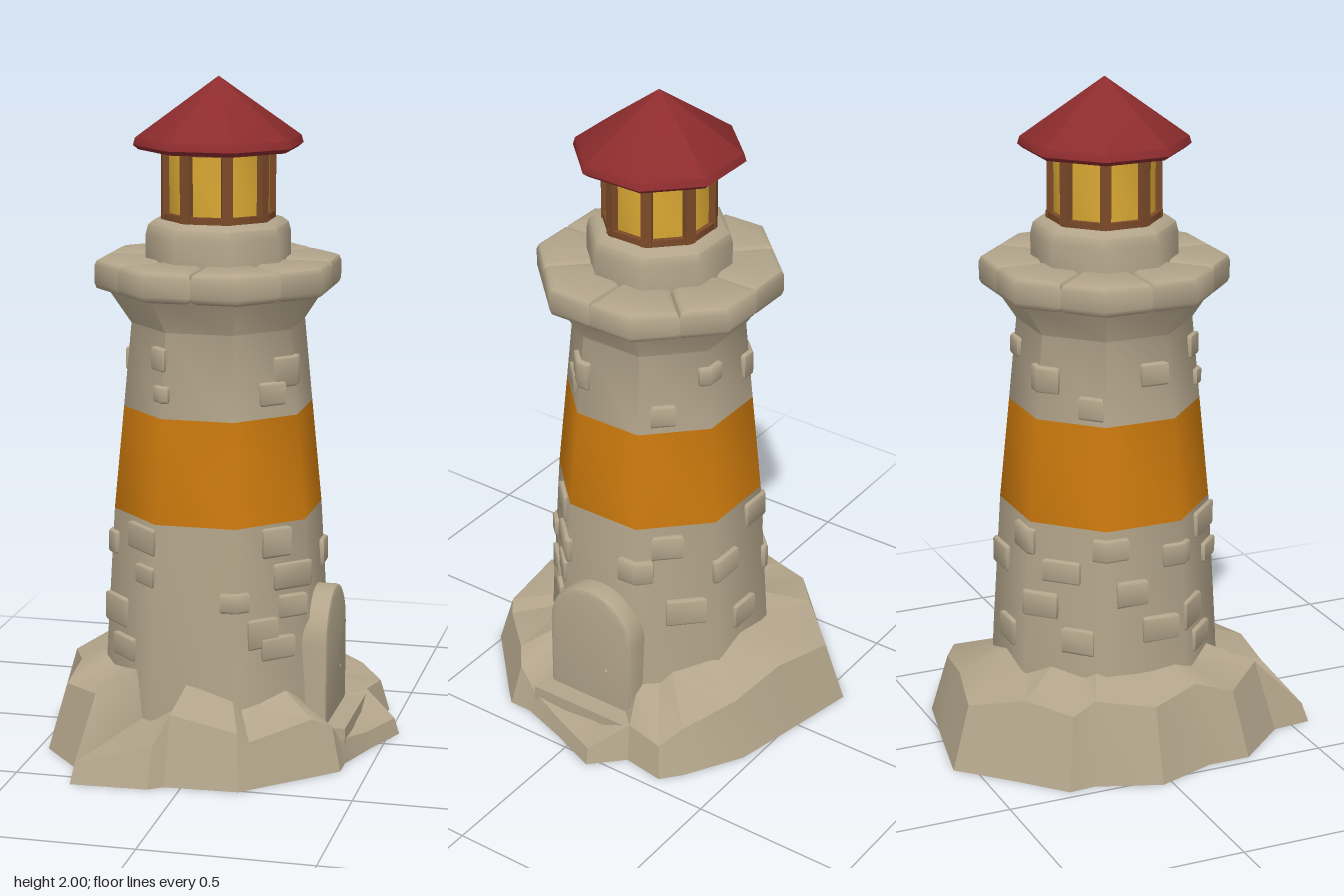
import * as THREE from 'three';
import { toCreasedNormals } from 'three/addons/utils/BufferGeometryUtils.js';

const mat = (name, color) => Object.assign(new THREE.MeshStandardMaterial({ color }), { name });
const EIGHTH = Math.PI / 4;

export function createModel() {
  const stone = mat('stone', 0xb3a58b);
  const orange = mat('orange paint', 0xcb790d);
  const red = mat('red roof', 0x8e2c2e);
  const wood = mat('brown wood', 0x7b4a28);
  const glass = mat('yellow glass', 0xdba934);
  const metal = mat('pale metal', 0xbdb4a2);

  const model = new THREE.Group();
  model.name = 'lighthouse';
  const tower = new THREE.Group();
  tower.name = 'tower';
  tower.position.set(-0.01, 0, 0.01);
  model.add(tower);

  const add = (name, geometry, material, parent = tower) => {
    const mesh = new THREE.Mesh(geometry, material);
    mesh.name = name;
    parent.add(mesh);
    return mesh;
  };

  // Eight-sided turned part; profile is [apothem, y] from bottom to top
  const octagon = (name, profile, material) => {
    const pts = profile.map(([a, y]) => new THREE.Vector2(a / Math.cos(EIGHTH / 2), y));
    return add(name, toCreasedNormals(new THREE.LatheGeometry(pts, 8, EIGHTH / 2), 0.87), material);
  };

  // Point on the octagon outline (flat sides face the axes)
  const octPoint = (phi, apothem) => {
    const off = phi - Math.round(phi / EIGHTH) * EIGHTH;
    const r = apothem / Math.cos(off);
    return new THREE.Vector2(r * Math.sin(phi), -r * Math.cos(phi));
  };

  // Bevelled stone following the octagon from angle a to b
  const wrappedStone = (name, a, b, inner, outer, y0, y1, bevel) => {
    const angles = [a];
    for (let k = -8; k < 10; k++) {
      const corner = (k + 0.5) * EIGHTH;
      if (corner > a + 0.01 && corner < b - 0.01) angles.push(corner);
    }
    angles.push(b);
    const outline = angles.map((p) => octPoint(p, outer))
      .concat(angles.reverse().map((p) => octPoint(p, inner)));
    const geo = new THREE.ExtrudeGeometry(new THREE.Shape(outline), {
      depth: y1 - y0 - 2 * bevel, bevelThickness: bevel, bevelSize: bevel,
      bevelOffset: -bevel, bevelSegments: 2,
    });
    geo.rotateX(-Math.PI / 2).translate(0, y0 + bevel, 0);
    return add(name, toCreasedNormals(geo, 0.87), stone);
  };

  // Tower walls
  octagon('lowerWall', [[0.326, 0], [0.313, 0.3], [0.29, 0.72]], stone);
  octagon('paintedBand', [[0.29, 0.72], [0.262, 1.03]], orange);
  octagon('upperWall', [[0.262, 1.03], [0.24, 1.28], [0.305, 1.385], [0.31, 1.4]], stone);

  // Raised bricks: [angle from front in degrees, half angle, y, height]
  const bricks = [
    [-35, 13, 0.665, 0.08], [48, 9, 0.665, 0.09], [-30, 8, 0.56, 0.06], [58, 12, 0.56, 0.08],
    [-58, 10, 0.42, 0.09], [38, 9, 0.4, 0.09], [57, 8, 0.47, 0.07], [47, 10, 0.35, 0.07],
    [-48, 10, 0.32, 0.07], [22, 8, 0.5, 0.06], [-28, 7, 1.2, 0.07], [50, 9, 1.1, 0.07],
    [-24, 6, 1.1, 0.05], [64, 11, 1.16, 0.09], [128, 8, 1.085, 0.07], [112, 10, 0.57, 0.08],
    [130, 9, 0.65, 0.08], [140, 11, 0.42, 0.09], [165, 10, 0.55, 0.08], [180, 9, 0.34, 0.08],
    [196, 10, 0.66, 0.08], [222, 11, 0.58, 0.07], [210, 10, 0.47, 0.08], [232, 9, 0.37, 0.08],
    [250, 10, 0.66, 0.07], [262, 9, 0.52, 0.08], [278, 10, 0.4, 0.08], [290, 9, 0.62, 0.07],
    [205, 11, 1.15, 0.08], [238, 8, 1.08, 0.07], [160, 9, 1.2, 0.06], [280, 9, 1.17, 0.07],
  ];
  for (const [deg, half, y, h] of bricks) {
    const wall = y < 0.72 ? 0.33 - 0.055 * y : 0.351 - 0.087 * y;
    const a = THREE.MathUtils.degToRad(deg - half), b = THREE.MathUtils.degToRad(deg + half);
    wrappedStone('raisedBrick', a, b, wall - 0.04, wall + 0.011, y - h / 2, y + h / 2, 0.008);
  }

  // Gallery ring of eight corner stones, and the drum above it
  for (let i = 0; i < 8; i++) {
    wrappedStone('galleryStone', i * EIGHTH, (i + 1) * EIGHTH, 0.15, 0.34, 1.38, 1.472, 0.02);
  }
  octagon('drum', [[0.2, 1.45], [0.2, 1.54], [0.193, 1.57], [0.175, 1.585], [0, 1.585]], stone);

  // Lantern room
  octagon('lanternGlass', [[0.143, 1.58], [0.143, 1.8]], glass);
  octagon('lanternSill', [[0.158, 1.58], [0.158, 1.605], [0.14, 1.605]], wood);
  octagon('lanternHead', [[0.14, 1.78], [0.156, 1.78], [0.156, 1.8]], wood);
  for (let i = 0; i < 8; i++) {
    const phi = (i + 0.5) * EIGHTH;
    const post = add('lanternPost', new THREE.BoxGeometry(0.032, 0.22, 0.026), wood);
    post.position.set(0.155 * Math.sin(phi), 1.69, 0.155 * Math.cos(phi));
    post.rotation.y = phi;
  }
  octagon('roof', [[0, 1.79], [0.218, 1.79], [0.233, 1.803], [0.227, 1.825], [0, 2]], red);

  // Doorway on the left side of the tower
  const arch = (Type, half, bottom, spring) => {
    const s = new Type();
    s.moveTo(-half, bottom);
    s.lineTo(half, bottom);
    s.lineTo(half, spring);
    s.absarc(0, spring, half, 0, Math.PI, false);
    s.lineTo(-half, bottom);
    return s;
  };
  const frame = arch(THREE.Shape, 0.15, 0.08, 0.34);
  frame.holes.push(arch(THREE.Path, 0.1, 0.1, 0.34));
  const frameGeo = new THREE.ExtrudeGeometry(frame, {
    depth: 0.08, bevelThickness: 0.012, bevelSize: 0.012, bevelOffset: -0.012,
    bevelSegments: 2, curveSegments: 8,
  });
  frameGeo.rotateY(Math.PI / 2).translate(0.273, 0, 0);
  add('doorFrame', toCreasedNormals(frameGeo, 0.7), stone);
  const doorGeo = new THREE.ExtrudeGeometry(arch(THREE.Shape, 0.115, 0.09, 0.34), {
    depth: 0.05, bevelEnabled: false, curveSegments: 8,
  });
  add('door', doorGeo.rotateY(Math.PI / 2).translate(0.283, 0, 0), wood);
  add('doorKnob', new THREE.SphereGeometry(0.018, 8, 6), metal).position.set(0.35, 0.22, -0.06);
  add('doorStep', new THREE.BoxGeometry(0.17, 0.1, 0.34), stone).position.set(0.34, 0.05, 0);

  // Rocky base: outline points as [x, z, shoulder height]
  const outline = [
    [-0.2, -0.56, 0.19], [0.02, -0.515, 0.21], [0.23, -0.47, 0.18], [0.4, -0.37, 0.14],
    [0.46, -0.32, 0.1], [0.44, -0.19, 0.11], [0.53, -0.1, 0.05], [0.47, 0.05, 0.05],
    [0.42, 0.2, 0.07], [0.42, 0.27, 0.13], [0.37, 0.32, 0.16], [0.2, 0.48, 0.13],
    [0.17, 0.51, 0.16], [-0.05, 0.52, 0.2], [-0.09, 0.55, 0.12], [-0.32, 0.56, 0.06],
    [-0.33, 0.44, 0.22], [-0.47, 0.28, 0.2], [-0.47, 0.15, 0.24], [-0.535, -0.03, 0.22],
    [-0.465, -0.22, 0.24], [-0.47, -0.3, 0.21], [-0.34, -0.42, 0.23],
  ];
  const n = outline.length;
  const rings = [
    outline.map(([x, z]) => [x, 0, z]),
    outline.map(([x, z, h]) => [x * (1 - 0.55 * h), h, z * (1 - 0.55 * h)]),
    outline.map(([x, z, h]) => {
      const k = 0.29 / Math.hypot(x, z);
      return [x * k, x > 0.4 && h < 0.1 ? 0.09 : 0.09 + h * 0.85, z * k];
    }),
  ];
  const positions = [];
  for (let i = 0; i < n; i++) {
    const j = (i + 1) % n;
    positions.push(0, 0, 0, ...rings[0][i], ...rings[0][j]);
    for (let r = 0; r < 2; r++) {
      const a = rings[r][i], b = rings[r][j], c = rings[r + 1][j], d = rings[r + 1][i];
      positions.push(...a, ...c, ...b, ...a, ...d, ...c);
    }
  }
  const rockGeo = new THREE.BufferGeometry();
  rockGeo.setAttribute('position', new THREE.Float32BufferAttribute(positions, 3));
  add('rockyBase', toCreasedNormals(rockGeo, 0.5), stone, model);

  return model;
}
